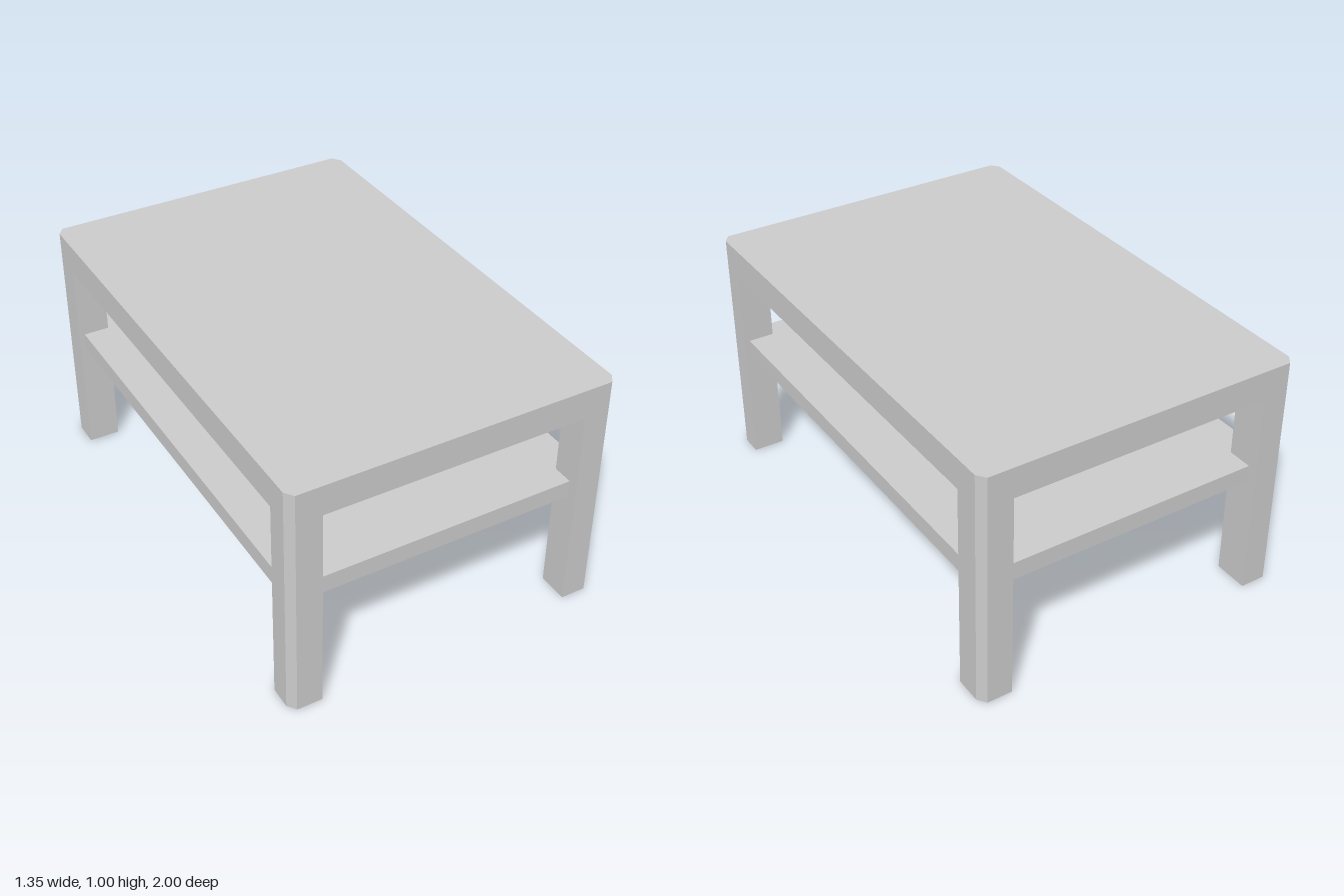
import * as THREE from 'three';

const W = 0.673, D = 1;                 // outer half width and half depth
const CX = 0.026, CZ = 0.035;           // corner chamfer along x and z
const INNER_X = 0.542, FRONT = 0.874, BACK = -0.855; // inside faces of legs and rim
const APRON = 0.875, FLOOR = 0.97;      // underside of top, recessed floor

const material = new THREE.MeshStandardMaterial({ color: 0xcccccc, flatShading: true });

// Turn [x, z] points into a path (shape y is -z, so it lies flat after rotation)
const points = (list) => list.map(([x, z]) => new THREE.Vector2(x, -z));

// Upright prism from a flat outline between two heights
function prism(name, outline, y0, y1, hole) {
  const shape = new THREE.Shape(points(outline));
  if (hole) shape.holes.push(new THREE.Path(points(hole)));
  const geometry = new THREE.ExtrudeGeometry(shape, { depth: y1 - y0, bevelEnabled: false });
  geometry.rotateX(-Math.PI / 2).translate(0, y0, 0);
  const mesh = new THREE.Mesh(geometry, material);
  mesh.name = name;
  return mesh;
}

export function createModel() {
  const table = new THREE.Group();
  table.name = 'coffeeTable';

  // Table top: slab with chamfered corners and a raised rim
  const outline = [
    [W, CZ - D], [W, D - CZ], [W - CX, D], [CX - W, D],
    [-W, D - CZ], [-W, CZ - D], [CX - W, -D], [W - CX, -D],
  ];
  const recess = [[-INNER_X, BACK], [INNER_X, BACK], [INNER_X, FRONT], [-INNER_X, FRONT]];
  table.add(prism('tableTop', outline, APRON, FLOOR));
  table.add(prism('topRim', outline, FLOOR, 1, recess));

  // Legs: square with the outer corner chamfered
  for (const sx of [-1, 1]) {
    for (const sz of [-1, 1]) {
      const innerZ = sz > 0 ? FRONT : BACK;
      const section = [
        [sx * INNER_X, innerZ], [sx * W, innerZ], [sx * W, sz * (D - CZ)],
        [sx * (W - CX), sz * D], [sx * INNER_X, sz * D],
      ];
      const name = (sz > 0 ? 'front' : 'back') + (sx > 0 ? 'Left' : 'Right') + 'Leg';
      table.add(prism(name, section, 0, APRON));
    }
  }

  // Lower shelf, let into the legs
  const shelf = new THREE.Mesh(new THREE.BoxGeometry(1.3, 0.073, 1.92), material);
  shelf.name = 'shelf';
  shelf.position.y = 0.522;
  table.add(shelf);

  return table;
}
